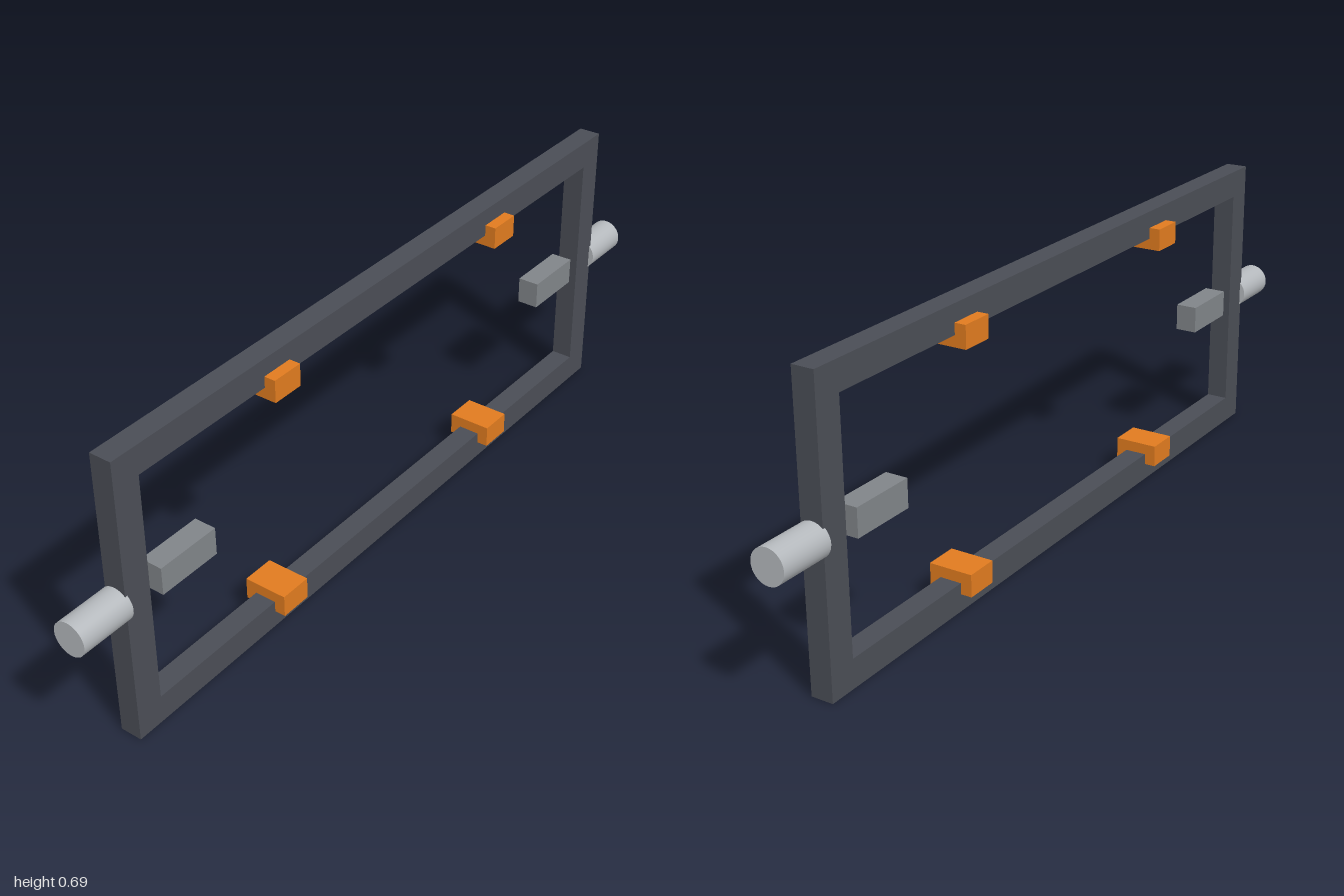
import * as THREE from 'three';

const HALF_W = 0.873, HEIGHT = 0.693, BAR = 0.067, DEPTH = 0.053;
const MID_Y = HEIGHT / 2;

const material = (color) => new THREE.MeshStandardMaterial({ color });

function addMesh(parent, name, geometry, mat, x, y, z = 0) {
  const mesh = new THREE.Mesh(geometry, mat);
  mesh.name = name;
  mesh.position.set(x, y, z);
  parent.add(mesh);
  return mesh;
}

// Closed rectangular outline, centred on the origin
function rectangle(PathType, halfW, halfH) {
  return new PathType([
    new THREE.Vector2(-halfW, -halfH),
    new THREE.Vector2(halfW, -halfH),
    new THREE.Vector2(halfW, halfH),
    new THREE.Vector2(-halfW, halfH),
  ]);
}

export function createModel() {
  const model = new THREE.Group();
  model.name = 'pivotFrame';

  const frameMat = material(0x4a4d55);
  const clipMat = material(0xe07b1f);
  const pinMat = material(0xb4b8bc);
  const blockMat = material(0x808488);

  // Rectangular frame with an open middle
  const outline = rectangle(THREE.Shape, HALF_W, MID_Y);
  outline.holes.push(rectangle(THREE.Path, HALF_W - BAR, MID_Y - BAR));
  const frame = new THREE.ExtrudeGeometry(outline, { depth: DEPTH, bevelEnabled: false });
  addMesh(model, 'frame', frame, frameMat, 0, MID_Y, -DEPTH / 2);

  const pin = new THREE.CylinderGeometry(0.04, 0.04, 0.133, 32).rotateZ(Math.PI / 2);
  const block = new THREE.BoxGeometry(0.16, 0.066, DEPTH);
  const clip = new THREE.BoxGeometry(0.08, 0.053, 0.107);

  for (const [side, s] of [['left', 1], ['right', -1]]) {
    // Pivot pin outside the frame, floating block inside it
    addMesh(model, side + 'PivotPin', pin, pinMat, s * 0.9335, MID_Y);
    addMesh(model, side + 'InnerBlock', block, blockMat, s * 0.692, MID_Y);

    // Clips straddling the inner edges of the top and bottom bars
    addMesh(model, side + 'BottomClip', clip, clipMat, s * 0.4, BAR);
    addMesh(model, side + 'TopClip', clip, clipMat, s * 0.4, HEIGHT - BAR);
  }

  return model;
}
